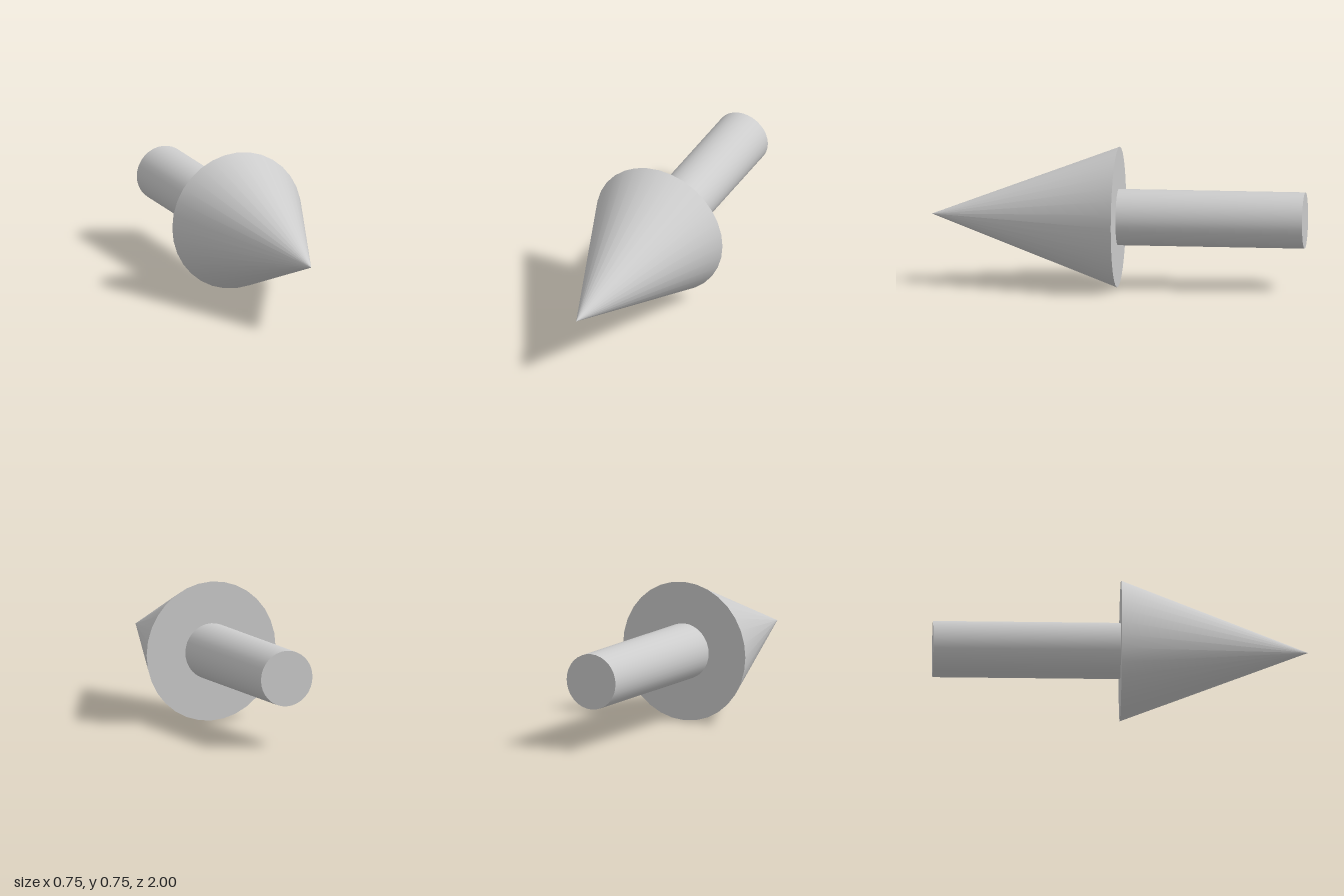
import * as THREE from 'three';

const SIDES = 32;
const HEAD_RADIUS = 0.375;
const SHAFT_RADIUS = 0.15;

export function createModel() {
  const model = new THREE.Group();
  model.name = 'arrow';
  const material = new THREE.MeshStandardMaterial({ color: 0xcccccc });

  // Lay a y-axis solid along z, at the height of the arrow's axis
  const addPart = (name, geometry, z) => {
    const mesh = new THREE.Mesh(geometry.rotateX(Math.PI / 2), material);
    mesh.name = name;
    mesh.position.set(0, HEAD_RADIUS, z);
    model.add(mesh);
  };

  // Pointed head, tip towards the front
  addPart('arrowHead', new THREE.ConeGeometry(HEAD_RADIUS, 1, SIDES), 0.5);

  // Round shaft behind the head
  addPart('shaft', new THREE.CylinderGeometry(SHAFT_RADIUS, SHAFT_RADIUS, 1, SIDES), -0.5);

  return model;
}
